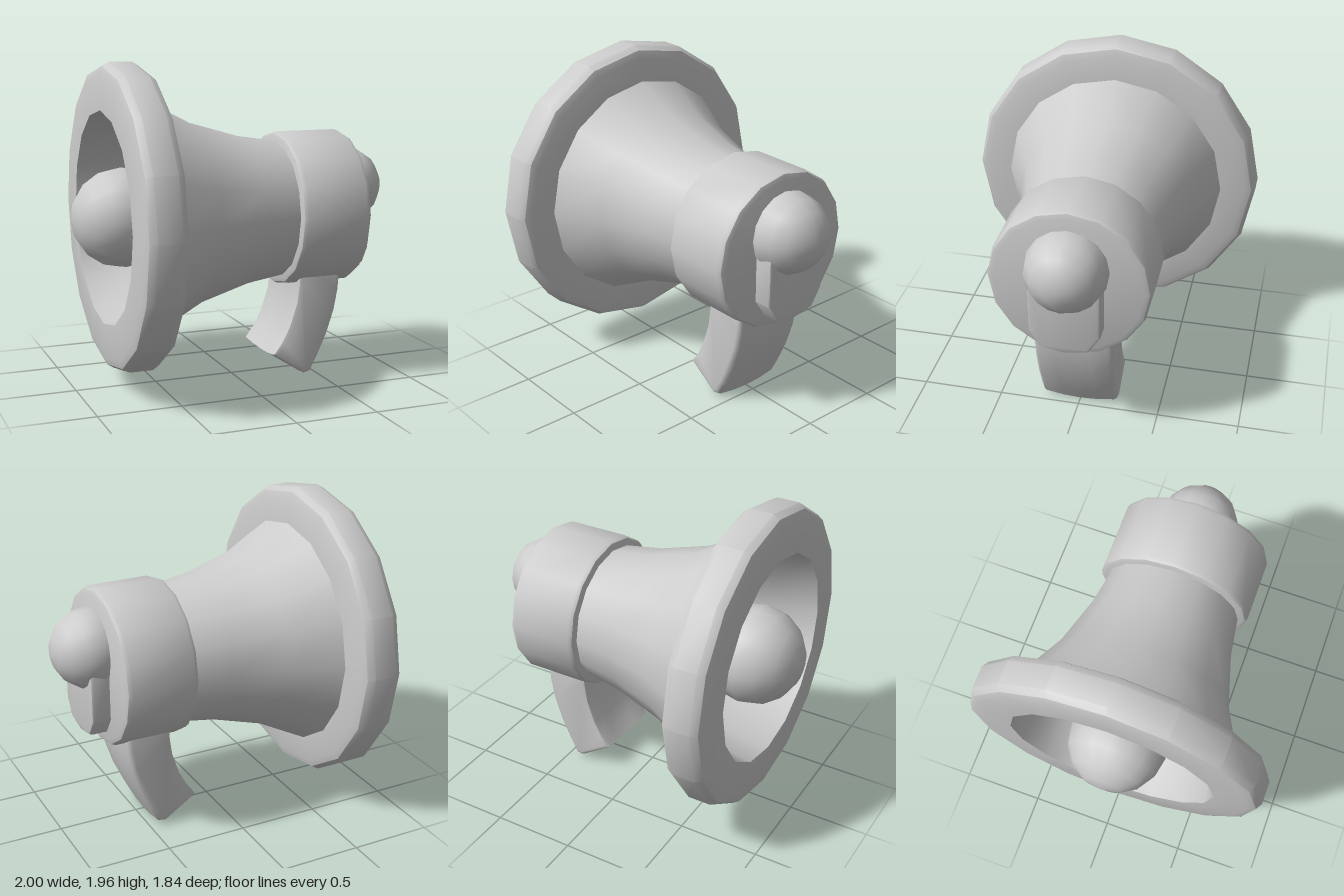
import * as THREE from 'three';
import { toCreasedNormals } from 'three/addons/utils/BufferGeometryUtils.js';

const AXIS_Y = 1.04;
const SIDES = 16;
const material = new THREE.MeshStandardMaterial({ color: 0xcccccc });

function addPart(group, name, geometry, x = 0, y = 0, z = 0) {
  const mesh = new THREE.Mesh(geometry, material);
  mesh.name = name;
  mesh.position.set(x, y, z);
  group.add(mesh);
  return mesh;
}

// Turned part lying along x; profile points are [x, radius]
function turned(profile, crease = 0.65) {
  const points = profile.map(([x, r]) => new THREE.Vector2(r, x));
  const geometry = new THREE.LatheGeometry(points, SIDES).rotateZ(-Math.PI / 2);
  return toCreasedNormals(geometry, crease);
}

// Smooth ball with its poles on the x axis
function ball(radius) {
  return new THREE.SphereGeometry(radius, SIDES, 8).rotateZ(-Math.PI / 2);
}

function shapeFrom(points) {
  return new THREE.Shape(points.map(([x, y]) => new THREE.Vector2(x, y)));
}

function handleGeometry() {
  // Side outline, drawn inside the bevel
  const bevel = 0.025;
  const shape = shapeFrom([
    [0.385, 0.72], [0.383, 0.6], [0.365, 0.47], [0.315, 0.32], [0.265, 0.225], [0.222, 0.168],
    [0.405, 0.05], [0.425, 0.055], [0.47, 0.14], [0.53, 0.27], [0.58, 0.42], [0.605, 0.55], [0.615, 0.72],
  ]);
  const depth = 0.48 - 2 * bevel;
  const geometry = new THREE.ExtrudeGeometry(shape, {
    depth, steps: 4, bevelEnabled: true, bevelThickness: bevel, bevelSize: bevel, bevelSegments: 2,
  });
  geometry.translate(0, 0, -depth / 2);
  // Bulge the grip towards its outer, lower side
  const p = geometry.attributes.position;
  for (let i = 0; i < p.count; i++) {
    const bulge = 0.02 * (1 - (p.getZ(i) / 0.24) ** 2);
    p.setX(i, p.getX(i) + bulge * 0.5);
    p.setY(i, p.getY(i) - bulge);
  }
  return toCreasedNormals(geometry, 0.8);
}

function backPlateGeometry() {
  // Long plate with rounded ends, extruded along x
  const r = 0.19, low = 0.79, high = 1.16;
  const half = [[r, low], [0.13, 0.695], [0, 0.67]];
  const shape = shapeFrom([
    [-r, high], [-r, low], [-0.13, 0.695], [0, 0.67], [0.13, 0.695], [r, low],
    [r, high], [0.13, high + 0.1], [0, high + 0.13], [-0.13, high + 0.1],
  ]);
  const geometry = new THREE.ExtrudeGeometry(shape, {
    depth: 0.125, bevelEnabled: true, bevelThickness: 0.02, bevelSize: 0.02, bevelSegments: 2,
  });
  return toCreasedNormals(geometry.rotateY(Math.PI / 2), 0.6);
}

export function createModel() {
  const model = new THREE.Group();
  model.name = 'megaphone';

  // Hollow horn: throat, inner wall, rounded rim, then flared outer wall
  addPart(model, 'horn', turned([
    [0.2, 0], [0.2, 0.37], [0.04, 0.41], [-0.27, 0.5], [-0.56, 0.6], [-0.82, 0.64],
    [-0.82, 0.85], [-0.805, 0.895], [-0.765, 0.92],
    [-0.625, 0.92], [-0.585, 0.895], [-0.57, 0.85], [-0.56, 0.7],
    [-0.27, 0.55], [0.04, 0.46], [0.3, 0.42],
  ]), 0, AXIS_Y);

  // Speaker ball in the mouth
  addPart(model, 'speakerBall', ball(0.3), -0.7, AXIS_Y);

  // Rear housing with rounded edges
  addPart(model, 'collar', turned([
    [0.28, 0], [0.28, 0.45], [0.287, 0.469], [0.31, 0.48],
    [0.695, 0.48], [0.72, 0.469], [0.73, 0.44], [0.73, 0],
  ]), 0, AXIS_Y);

  // Mouthpiece on the back
  addPart(model, 'backPlate', backPlateGeometry(), 0.7);
  addPart(model, 'mouthpieceBall', ball(0.245), 0.755, 1.167);

  // Curved grip below the collar
  addPart(model, 'handle', handleGeometry());

  return model;
}
